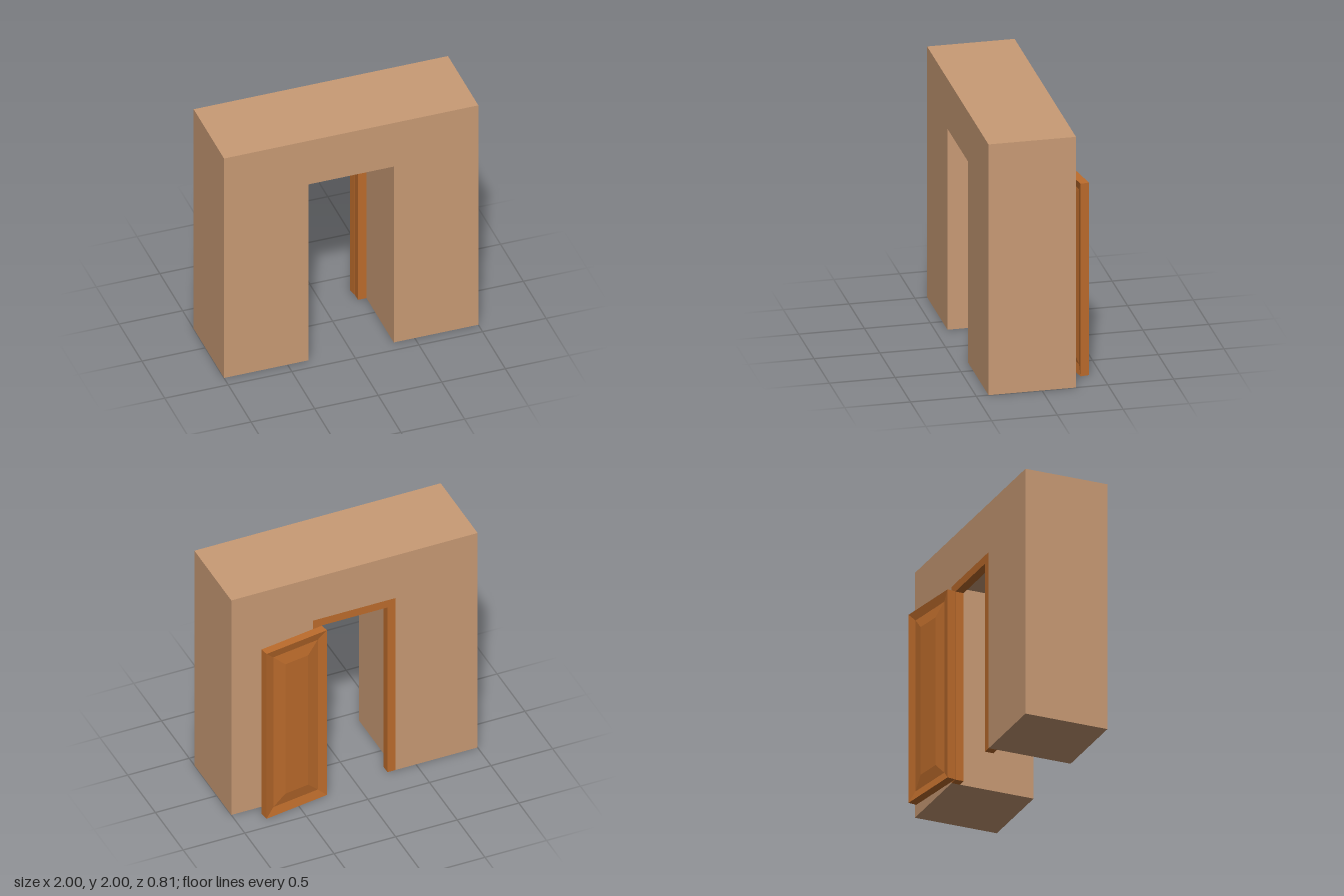
import * as THREE from 'three';

const wallMat = new THREE.MeshStandardMaterial({ color: 0xc99b75 });
wallMat.name = 'tan plaster';
const woodMat = new THREE.MeshStandardMaterial({ color: 0xbd6c2c });
woodMat.name = 'orange wood';

const BACK = -0.258, FRONT = 0.407, T = 0.067;

// Upside-down U outline standing on y = 0, extruded along z
function arch(name, outerX, outerY, innerX, innerY, z0, depth, material) {
  const pts = [
    [-outerX, 0], [-innerX, 0], [-innerX, innerY], [innerX, innerY],
    [innerX, 0], [outerX, 0], [outerX, outerY], [-outerX, outerY],
  ].map(([x, y]) => new THREE.Vector2(x, y));
  const geo = new THREE.ExtrudeGeometry(new THREE.Shape(pts), { depth, bevelEnabled: false });
  geo.translate(0, 0, z0);
  const mesh = new THREE.Mesh(geo, material);
  mesh.name = name;
  return mesh;
}

// Door slab with a bevelled raised panel on both faces, from rectangular rings
function doorGeometry(w, h, t, groove) {
  const rings = [
    [0.165, t / 2], [0.07, t / 2 - groove], [0, t / 2],
    [0, -t / 2], [0.07, -t / 2 + groove], [0.165, -t / 2],
  ].map(([inset, z]) => {
    const x = w / 2 - inset, y = h / 2 - inset;
    return [[-x, -y, z], [x, -y, z], [x, y, z], [-x, y, z]];
  });
  const pos = [];
  const quad = (a, b, c, d) => pos.push(...a, ...b, ...c, ...a, ...c, ...d);
  quad(...rings[0]);
  for (let r = 0; r < rings.length - 1; r++) {
    for (let i = 0; i < 4; i++) {
      const j = (i + 1) % 4;
      quad(rings[r][i], rings[r + 1][i], rings[r + 1][j], rings[r][j]);
    }
  }
  quad(...[...rings[rings.length - 1]].reverse());
  const geo = new THREE.BufferGeometry();
  geo.setAttribute('position', new THREE.Float32BufferAttribute(pos, 3));
  geo.computeVertexNormals();
  return geo;
}

export function createModel() {
  const model = new THREE.Group();
  model.name = 'doorway';

  // Thick wall with a doorway
  model.add(arch('wall', 1, 2, 0.335, 1.603, BACK, FRONT - BACK, wallMat));

  // Door frame, flush with the back of the wall
  model.add(arch('doorFrame', 0.335, 1.603, 0.268, 1.536, BACK, T, woodMat));

  // Door swung wide open behind the wall
  const door = new THREE.Mesh(doorGeometry(0.532, 1.536, T, 0.016), woodMat);
  door.name = 'door';
  door.position.set(0.523, 0.768, -0.334);
  door.rotation.y = 0.153;
  model.add(door);

  return model;
}
